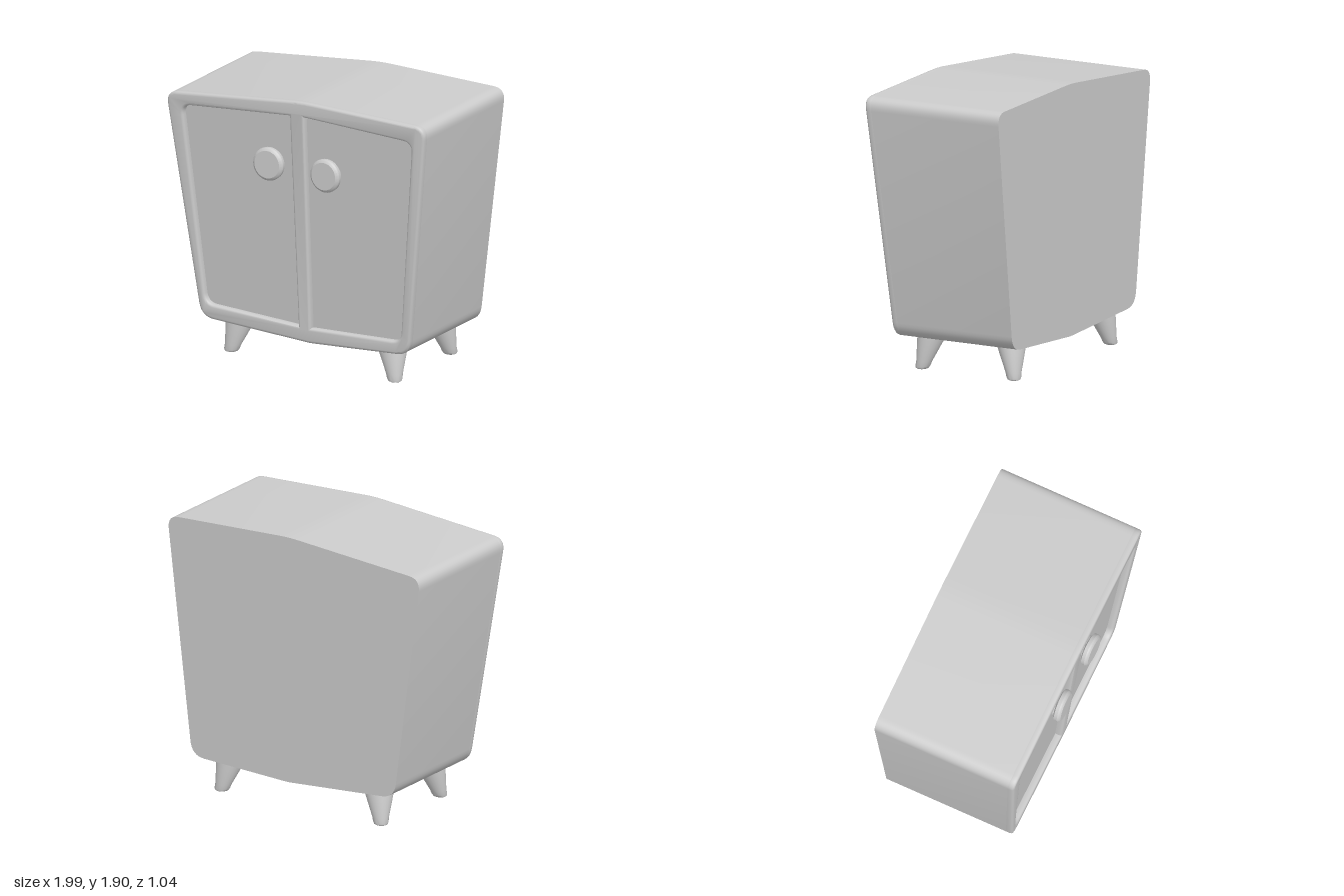
import * as THREE from 'three';
import { toCreasedNormals } from 'three/addons/utils/BufferGeometryUtils.js';

const material = new THREE.MeshStandardMaterial({ color: 0xcccccc });
const BACK = -0.515, RECESS = 0.045, BEVEL = 0.018;

// The front leans forward as it rises
const frontZ = (y) => 0.381 + 0.07 * y;

// Closed outline from [x, y, cornerCut] entries
function roundedOutline(corners, Type) {
  const path = new Type();
  const pts = corners.map(([x, y]) => new THREE.Vector2(x, y));
  corners.forEach(([x, y, r], i) => {
    const p = pts[i];
    const prev = pts[(i + pts.length - 1) % pts.length], next = pts[(i + 1) % pts.length];
    const a = p.clone().add(prev.clone().sub(p).setLength(r || 1).multiplyScalar(r ? 1 : 0));
    const b = p.clone().add(next.clone().sub(p).setLength(r || 1).multiplyScalar(r ? 1 : 0));
    if (i === 0) path.moveTo(a.x, a.y); else path.lineTo(a.x, a.y);
    if (r) path.quadraticCurveTo(x, y, b.x, b.y);
  });
  path.closePath();
  return path;
}

// Moves every vertex by a rule
function reshape(geometry, rule) {
  const pos = geometry.attributes.position, v = new THREE.Vector3();
  for (let i = 0; i < pos.count; i++) {
    rule(v.fromBufferAttribute(pos, i));
    pos.setXYZ(i, v.x, v.y, v.z);
  }
  return geometry;
}

function addMesh(parent, name, geometry, crease = 0.6) {
  const mesh = new THREE.Mesh(toCreasedNormals(geometry, crease), material);
  mesh.name = name;
  parent.add(mesh);
  return mesh;
}

export function createModel() {
  const group = new THREE.Group();
  group.name = 'cabinet';

  // Crooked cabinet outline, counter-clockwise from bottom left
  const outline = [
    [-0.80, 0.24, 0.1], [0.045, 0.192, 0.03], [0.81, 0.235, 0.1],
    [1.005, 1.877, 0.09], [0.04, 1.903, 0.08], [-1.007, 1.805, 0.09],
  ];

  // Carcass; its front face forms the two recessed doors
  const carcass = new THREE.ExtrudeGeometry(roundedOutline(outline, THREE.Shape), {
    depth: 1, bevelEnabled: false, curveSegments: 8,
  });
  reshape(carcass, (v) => { v.z = v.z > 0.5 ? frontZ(v.y) - RECESS : BACK; });
  addMesh(group, 'carcass', carcass);

  // Raised front frame with two bevelled openings
  const frame = roundedOutline(outline, THREE.Shape);
  frame.holes.push(
    roundedOutline([[-0.76, 0.34, 0.07], [-0.042, 0.302, 0], [-0.047, 1.79, 0], [-0.885, 1.726, 0.07]], THREE.Path),
    roundedOutline([[0.052, 0.298, 0], [0.75, 0.322, 0.07], [0.897, 1.757, 0.07], [0.062, 1.795, 0]], THREE.Path),
  );
  const frameGeometry = new THREE.ExtrudeGeometry(frame, {
    depth: RECESS - BEVEL, curveSegments: 8,
    bevelThickness: BEVEL, bevelSize: BEVEL, bevelOffset: -BEVEL, bevelSegments: 3,
  });
  reshape(frameGeometry, (v) => { v.z += frontZ(v.y) - RECESS; });
  addMesh(group, 'frontFrame', frameGeometry);

  // Round door knobs
  const knobProfile = [[0.085, 0], [0.085, 0.03], [0.112, 0.042], [0.114, 0.065], [0.108, 0.076], [0.094, 0.085], [0, 0.085]]
    .map(([r, y]) => new THREE.Vector2(r, y));
  for (const [name, x, y, tilt] of [['rightKnob', -0.216, 1.425, -0.03], ['leftKnob', 0.227, 1.415, 0.03]]) {
    const knob = addMesh(group, name, new THREE.LatheGeometry(knobProfile, 32), 0.5);
    knob.position.set(x, y, frontZ(y) - RECESS - 0.002);
    knob.rotation.set(Math.PI / 2 - 0.03, 0, tilt);
  }

  // Tapered legs, splayed outwards by a shear
  const legProfile = [[0, 0], [0.035, 0], [0.047, 0.006], [0.053, 0.02], [0.057, 0.05], [0.102, 0.215], [0.102, 0.245], [0, 0.245]]
    .map(([r, y]) => new THREE.Vector2(r, y));
  for (const side of [-1, 1]) {
    for (const end of [-1, 1]) {
      const leg = new THREE.LatheGeometry(legProfile, 24);
      reshape(leg, (v) => {
        v.x -= side * 0.22 * v.y;
        v.z = v.z * 0.92 - end * 0.22 * v.y;
      });
      const name = (end > 0 ? 'front' : 'back') + (side > 0 ? 'Left' : 'Right') + 'Leg';
      addMesh(group, name, leg, 0.7).position.set(side * 0.635, 0, end > 0 ? 0.28 : -0.425);
    }
  }
  return group;
}
